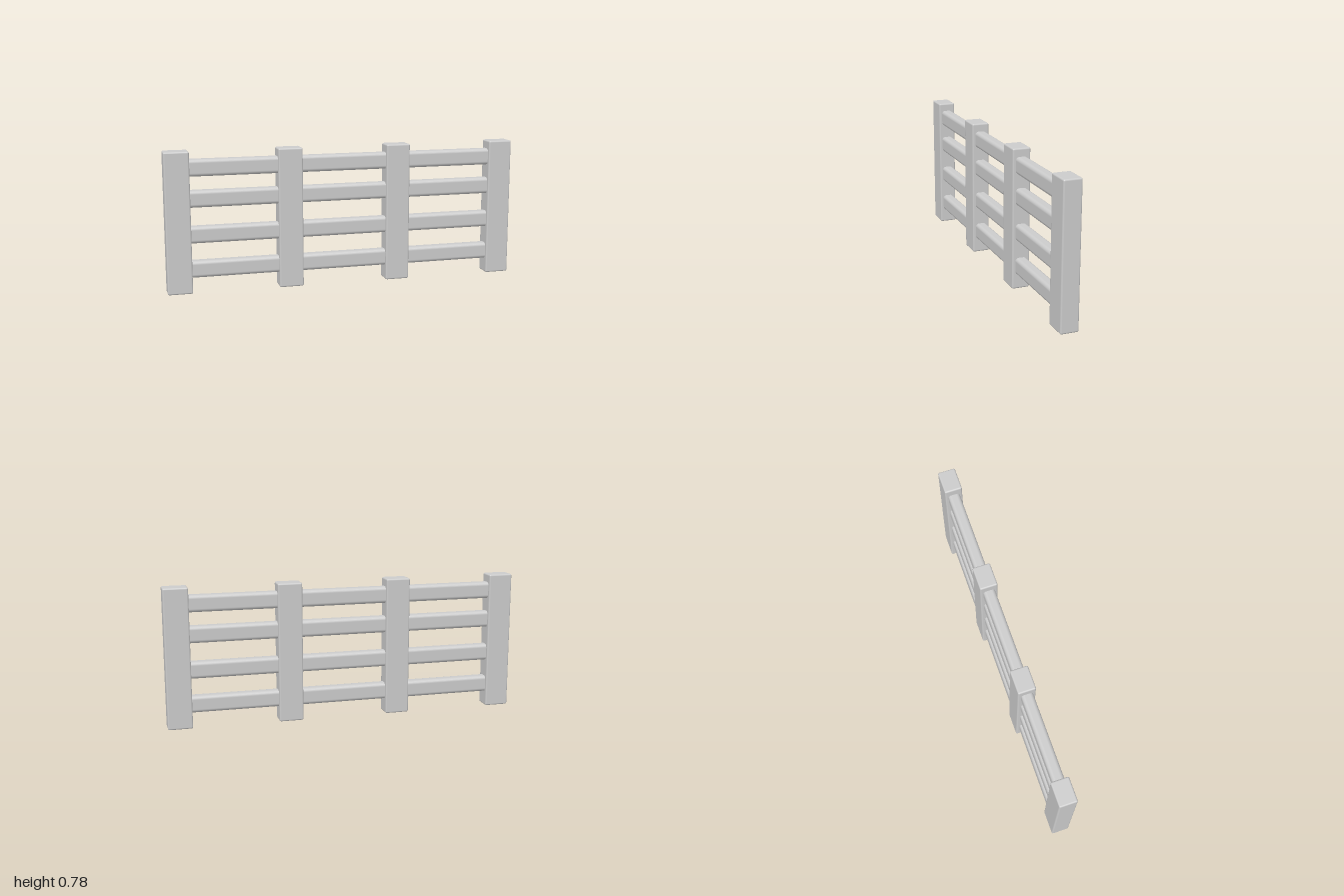
import * as THREE from 'three';
import { RoundedBoxGeometry } from 'three/addons/geometries/RoundedBoxGeometry.js';

const POST = { width: 0.137, height: 0.783, depth: 0.1 };
const RAIL = { height: 0.094, depth: 0.066 };
const POST_X = [-0.9315, -0.3105, 0.3105, 0.9315];
const RAIL_Y = [0.13, 0.322, 0.52, 0.69];

export function createModel() {
  const fence = new THREE.Group();
  fence.name = 'fence';
  const material = new THREE.MeshStandardMaterial({ color: 0xcccccc });

  const add = (name, geometry, x, y) => {
    const mesh = new THREE.Mesh(geometry, material);
    mesh.name = name;
    mesh.position.set(x, y, 0);
    fence.add(mesh);
  };

  // Upright posts with softly worn edges
  const postGeometry = new RoundedBoxGeometry(POST.width, POST.height, POST.depth, 2, 0.009);
  POST_X.forEach((x, i) => add(`post${i + 1}`, postGeometry, x, POST.height / 2));

  // Horizontal rails, rounder than the posts, running through all of them
  const railLength = POST_X[3] - POST_X[0];
  const railGeometry = new RoundedBoxGeometry(railLength, RAIL.height, RAIL.depth, 3, 0.02);
  RAIL_Y.forEach((y, i) => add(`rail${i + 1}`, railGeometry, 0, y));

  return fence;
}
